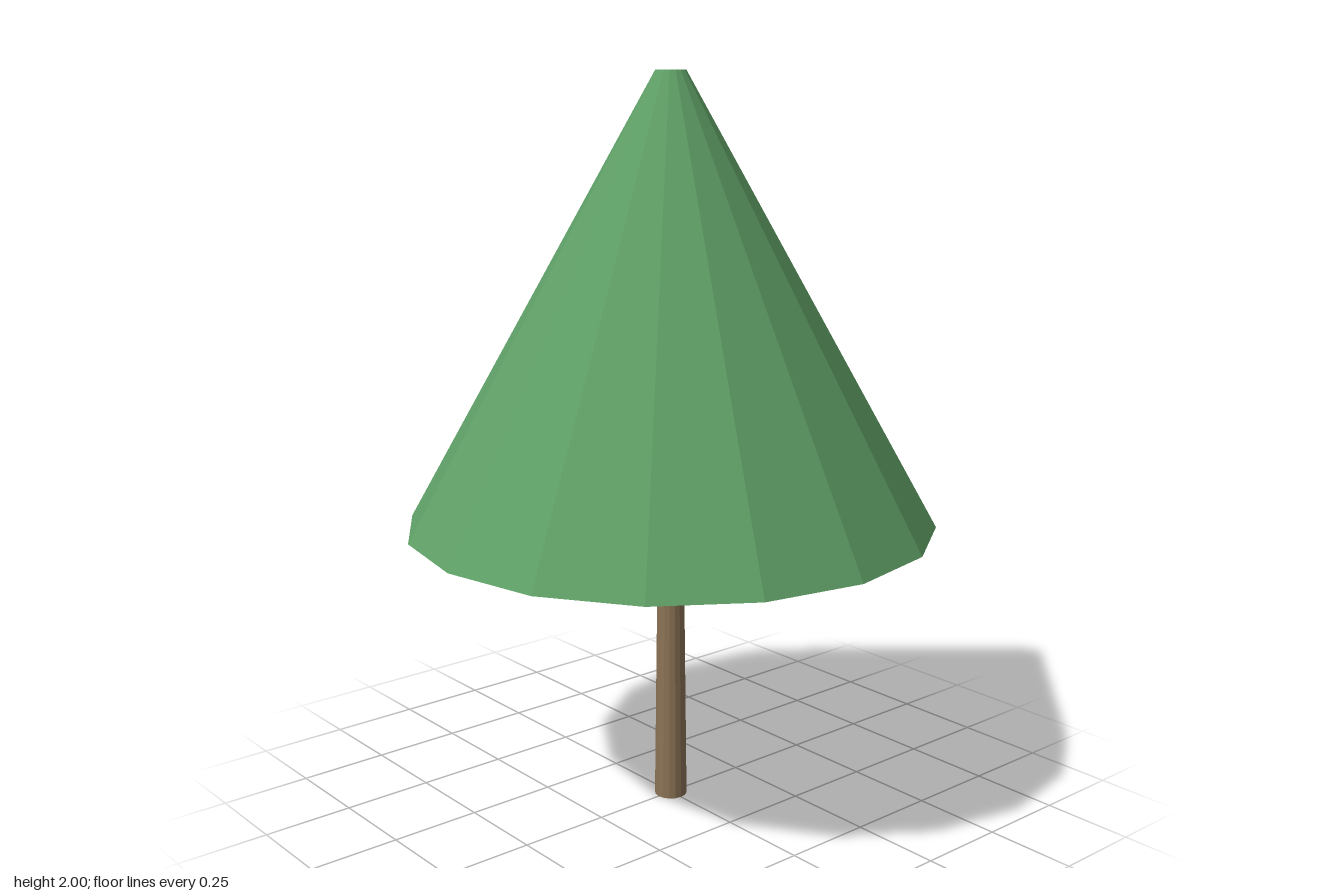
import * as THREE from 'three';

const SIDES = 16;

// Tapered, faceted and capped column standing on baseY
function taper(name, topRadius, bottomRadius, baseY, height, material) {
  const geometry = new THREE.CylinderGeometry(topRadius, bottomRadius, height, SIDES).toNonIndexed();
  geometry.computeVertexNormals();
  geometry.translate(0, baseY + height / 2, 0);
  const mesh = new THREE.Mesh(geometry, material);
  mesh.name = name;
  return mesh;
}

export function createModel() {
  const bark = new THREE.MeshStandardMaterial({ color: 0x8b7355 });
  bark.name = 'bark brown';
  const needles = new THREE.MeshStandardMaterial({ color: 0x5f9f66 });
  needles.name = 'needle green';

  const tree = new THREE.Group();
  tree.name = 'coniferTree';
  // Slim trunk, narrowing upward
  tree.add(taper('trunk', 0.035, 0.045, 0, 0.8, bark));
  // Broad cone of foliage with a small flat tip
  tree.add(taper('foliage', 0.04, 0.717, 0.8, 1.2, needles));
  return tree;
}
